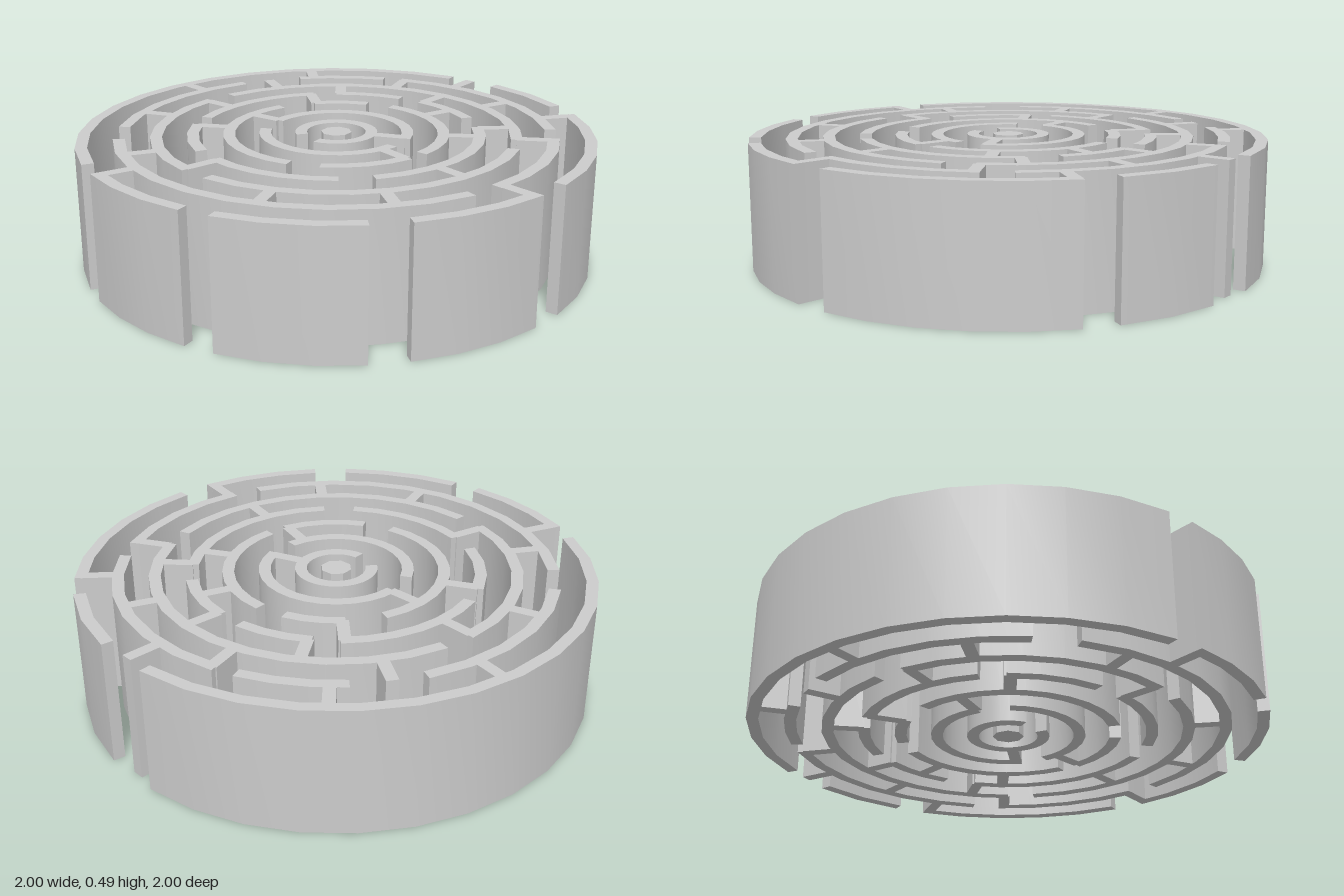
import * as THREE from 'three';
import { toCreasedNormals } from 'three/addons/utils/BufferGeometryUtils.js';

const HEIGHT = 0.49;
const THICK = 0.046;
const STEP = 12; // largest angle of one facet, degrees
const ringRadius = (k) => 0.137 + 0.14 * (k - 1);
const rad = THREE.MathUtils.degToRad;

// Curved walls per ring: [start, end] in degrees, from +x towards +z
const ARCS = {
  1: [[131, 450]],
  2: [[180, 347], [8, 155]],
  3: [[224, 255.3], [270, 368], [18.5, 64.9], [81.2, 204]],
  4: [[237.2, 266.7], [277, 307.9], [321, 403.3], [56.3, 109.5], [121.1, 157], [166.9, 227]],
  5: [[196.4, 336.3], [-14.5, 97.1], [106.3, 187.2]],
  6: [[257.4, 325.7], [333.4, 376.4], [24.3, 140.1], [151, 207.7], [225.6, 252]],
  7: [[122.9, 269.4], [282.6, 305.8], [313.3, 365.5], [13.3, 42.9], [51.1, 81.2], [87.8, 116.6]],
};

// Straight walls between ring k and ring k + 1: angles in degrees
const SPOKES = {
  1: [-17],
  2: [20, 181.6],
  3: [-65, -26.3, 155.5, 225.5],
  4: [-81.5, -37.3, 17, 107.7, 185.8, 238.8],
  5: [-63.1, -25, 43.5, 75.2, 126.9, 165.9, 215.8, 258.6],
  6: [-84.9, -45.5, 14.7, 115.3, 193.8, 230],
};

// Upright prism over an outline of [x, z] points
function prism(points) {
  const shape = new THREE.Shape(points.map(([x, z]) => new THREE.Vector2(x, -z)));
  const geometry = new THREE.ExtrudeGeometry(shape, { depth: HEIGHT, bevelEnabled: false });
  geometry.rotateX(-Math.PI / 2);
  return toCreasedNormals(geometry, 0.5);
}

function arcWall(radius, start, end) {
  const n = Math.ceil((end - start) / STEP);
  const outer = [];
  const inner = [];
  for (let i = 0; i <= n; i++) {
    const a = rad(start + ((end - start) * i) / n);
    const c = Math.cos(a);
    const s = Math.sin(a);
    outer.push([c * (radius + THICK / 2), s * (radius + THICK / 2)]);
    inner.unshift([c * (radius - THICK / 2), s * (radius - THICK / 2)]);
  }
  return prism([...outer, ...inner]);
}

function spokeWall(r0, r1, angle) {
  const c = Math.cos(rad(angle));
  const s = Math.sin(rad(angle));
  const h = THICK / 2;
  const corners = [[r0, -h], [r1, -h], [r1, h], [r0, h]];
  return prism(corners.map(([r, t]) => [r * c - t * s, r * s + t * c]));
}

export function createModel() {
  const model = new THREE.Group();
  model.name = 'roundMaze';
  const material = new THREE.MeshStandardMaterial({ color: 0xcccccc });
  const add = (parent, name, geometry) => {
    const mesh = new THREE.Mesh(geometry, material);
    mesh.name = name;
    parent.add(mesh);
  };

  // Concentric ring walls
  for (const [k, arcs] of Object.entries(ARCS)) {
    const ring = new THREE.Group();
    ring.name = `ring${k}`;
    arcs.forEach(([a, b], i) => add(ring, `arcWall${i + 1}`, arcWall(ringRadius(+k), a, b)));
    model.add(ring);
  }

  // Radial walls joining neighbouring rings
  for (const [k, angles] of Object.entries(SPOKES)) {
    const spokes = new THREE.Group();
    spokes.name = `radialWalls${k}`;
    angles.forEach((a, i) =>
      add(spokes, `radialWall${i + 1}`, spokeWall(ringRadius(+k), ringRadius(+k + 1), a)));
    model.add(spokes);
  }

  // Eight-sided post in the middle
  const post = new THREE.CylinderGeometry(0.06, 0.06, HEIGHT, 8);
  post.rotateY(Math.PI / 8);
  post.translate(0, HEIGHT / 2, 0);
  add(model, 'centrePost', toCreasedNormals(post, 0.5));

  return model;
}
